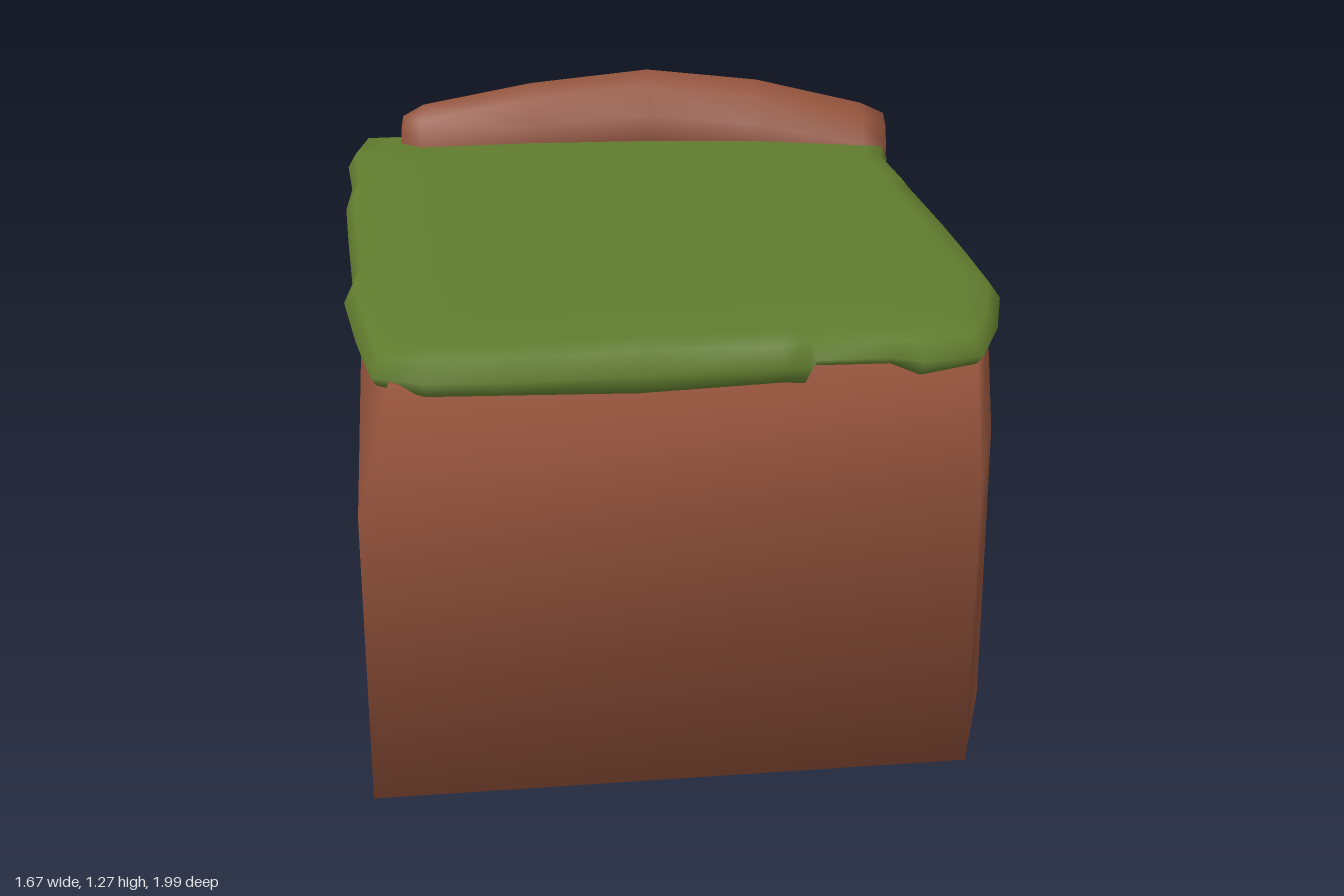
import * as THREE from 'three';

// Skin closed rings of [x, y, z] points with shared vertices, so shading stays smooth.
// fan: cap by fanning from this ring index; otherwise cap to the ring's centre.
function loft(rings, fan = -1) {
  const n = rings[0].length, last = (rings.length - 1) * n;
  const pts = rings.flat();
  const idx = [];
  for (let i = 0; i < rings.length - 1; i++) {
    for (let j = 0; j < n; j++) {
      const a = i * n + j, b = i * n + (j + 1) % n;
      idx.push(a, b, b + n, a, b + n, a + n);
    }
  }
  const centre = ring => [0, 1, 2].map(k => ring.reduce((s, p) => s + p[k], 0) / n);
  if (fan < 0) pts.push(centre(rings[0]), centre(rings[rings.length - 1]));
  const c0 = fan < 0 ? last + n : fan;
  const c1 = fan < 0 ? last + n + 1 : last + fan;
  for (let j = 0; j < n; j++) {
    const k = (j + 1) % n;
    if (j === fan || k === fan) continue;
    idx.push(c0, k, j, c1, last + j, last + k);
  }
  const g = new THREE.BufferGeometry();
  g.setAttribute('position', new THREE.Float32BufferAttribute(pts.flat(), 3));
  g.setIndex(idx);
  g.computeVertexNormals();
  return g;
}

export function createModel() {
  const group = new THREE.Group();
  const earth = new THREE.MeshStandardMaterial({ color: 0x92523b });
  earth.name = 'earth brown';
  const grass = new THREE.MeshStandardMaterial({ color: 0x607b2e });
  grass.name = 'grass green';
  const add = (name, geometry, material) => {
    const mesh = new THREE.Mesh(geometry, material);
    mesh.name = name;
    group.add(mesh);
  };

  // Earth block: skewed six-cornered outline, drawn in a little at the top
  const foot = [[-0.65, 1], [0.75, 0.86], [0.83, 0.55], [0.67, -0.965], [-0.76, -0.83], [-0.815, -0.7]];
  const mid = [[-0.65, 1], [0.745, 0.86], [0.825, 0.53], [0.665, -0.945], [-0.77, -0.82], [-0.82, -0.7]];
  const rim = [[-0.57, 0.975], [0.72, 0.845], [0.8, 0.5], [0.65, -0.88], [-0.76, -0.8], [-0.81, -0.7]];
  const level = (outline, y) => outline.map(([x, z]) => [x, y, z]);
  add('earthBlock', loft([level(foot, 0), level(mid, 0.72), level(rim, 1.04)], 1), earth);

  // Grass mat: outline as x, z and the height of its ragged lower edge
  const mat = [
    [-0.61, 0.97, 1.02], [-0.5, 0.99, 1.0], [-0.33, 0.985, 1.0], [-0.03, 0.94, 0.985], [0.29, 0.92, 1.0],
    [0.34, 0.9, 0.99], [0.36, 0.895, 1.03], [0.53, 0.885, 1.03], [0.6, 0.88, 1.0], [0.73, 0.865, 1.02],
    [0.79, 0.7, 1.03], [0.83, 0.5, 1.03], [0.81, 0.28, 1.01], [0.785, 0.05, 1.0], [0.74, -0.3, 1.0],
    [0.735, -0.36, 1.03], [0.7, -0.62, 1.03], [0.72, -0.75, 0.98], [0.67, -0.83, 1.0],
    [0, -0.85, 1.03], [-0.68, -0.85, 1.0], [-0.82, -0.83, 0.99], [-0.84, -0.66, 1.0], [-0.8, -0.4, 1.03],
    [-0.8, -0.25, 1.0], [-0.76, 0.05, 1.02], [-0.72, 0.33, 0.99], [-0.72, 0.5, 1.02], [-0.67, 0.72, 0.99],
  ];
  const matRing = (s, height) => mat.map(([x, z, lip]) => [x * s, height(lip), z * s]);
  add('grassMat', loft([
    matRing(0.93, lip => lip + 0.02),
    matRing(0.985, lip => lip),
    matRing(1, lip => 1.035 + (lip - 1) * 0.4),
    matRing(0.97, () => 1.08),
    matRing(0.9, () => 1.092),
    matRing(0.7, () => 1.094),
  ]), grass);

  // Arched roll along the back edge: x, y, z and radius of each section
  const spine = [
    [-0.69, 1.05, -0.79, 0.1], [-0.63, 1.05, -0.785, 0.135], [-0.32, 1.09, -0.835, 0.145],
    [0.02, 1.122, -0.855, 0.147], [0.34, 1.095, -0.845, 0.145], [0.64, 1.05, -0.785, 0.135],
    [0.71, 1.05, -0.8, 0.1],
  ];
  const sides = 10;
  add('backRoll', loft(spine.map(([x, y, z, r]) => Array.from({ length: sides }, (_, i) => {
    const t = (i + 0.5) / sides * Math.PI * 2;
    return [x, y + r * Math.sin(t), z - r * Math.cos(t)];
  }))), earth);

  return group;
}
